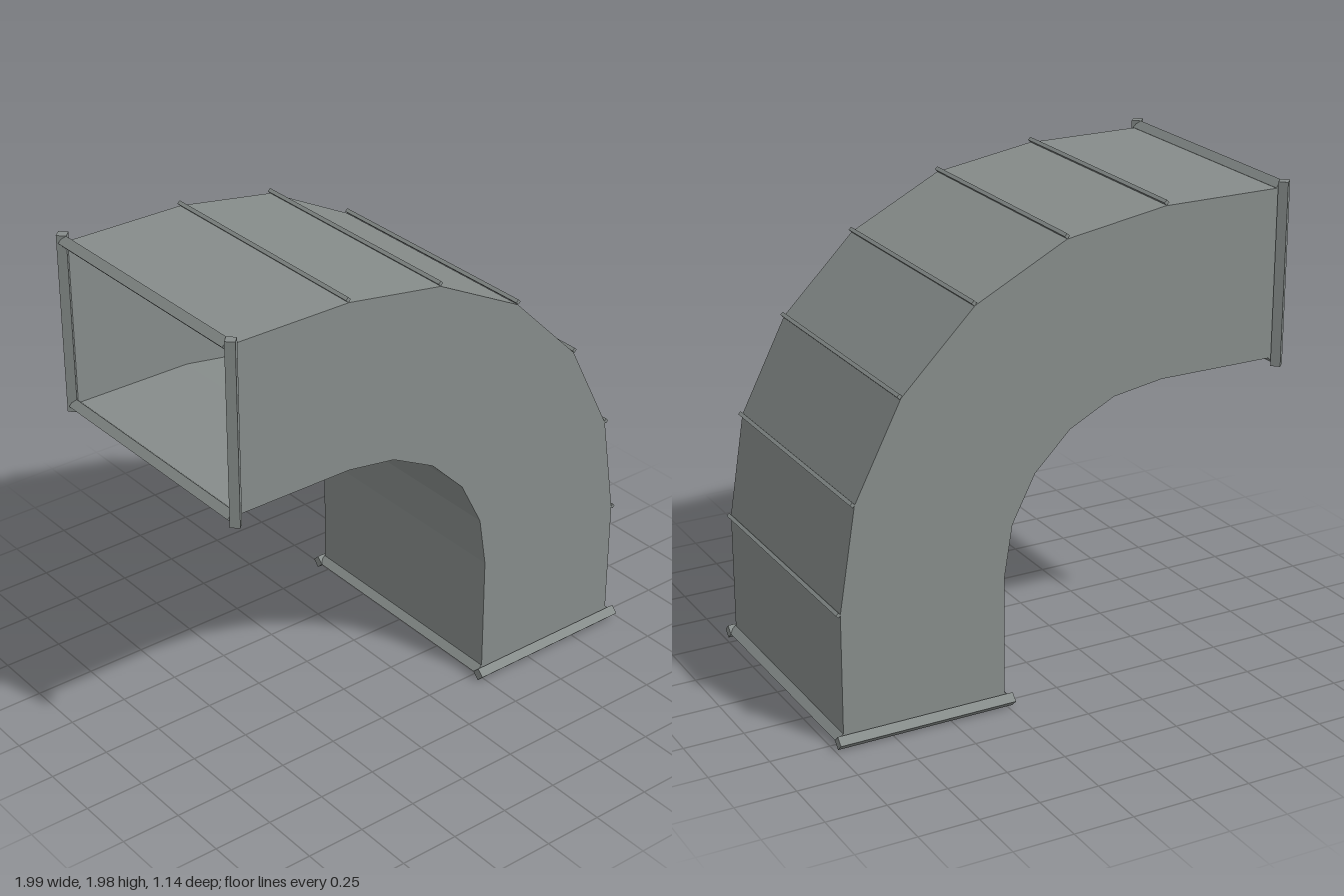
import * as THREE from 'three';

const HALF = 0.53;            // half the duct width along z
const CX = -0.44, CY = 0.56;  // centre of the bend
const R_OUT = 1.395, R_IN = 0.695;
const STEPS = 5;

export function createModel() {
  const group = new THREE.Group();
  const metal = new THREE.MeshStandardMaterial({ color: 0x868c8a, flatShading: true, side: THREE.DoubleSide });
  metal.name = 'galvanised grey';

  // Open rectangular duct: one four-cornered section per station
  const sections = [];
  const section = (ox, oy, ix, iy) => sections.push([
    [ox, oy, HALF], [ox, oy, -HALF], [ix, iy, -HALF], [ix, iy, HALF],
  ]);
  section(-0.97, CY + R_OUT, -0.97, CY + R_IN);
  for (let i = 0; i <= STEPS; i++) {
    const a = (i / STEPS) * Math.PI / 2, s = Math.sin(a), c = Math.cos(a);
    section(CX + R_OUT * s, CY + R_OUT * c, CX + R_IN * s, CY + R_IN * c);
  }
  section(CX + R_OUT, 0.03, CX + R_IN, 0.03);

  const pos = [];
  for (let i = 0; i < sections.length - 1; i++) {
    for (let j = 0; j < 4; j++) {
      const k = (j + 1) % 4;
      const a = sections[i][j], b = sections[i][k];
      const c = sections[i + 1][k], d = sections[i + 1][j];
      pos.push(...a, ...d, ...c, ...a, ...c, ...b);
    }
  }
  const ductGeo = new THREE.BufferGeometry();
  ductGeo.setAttribute('position', new THREE.Float32BufferAttribute(pos, 3));
  ductGeo.computeVertexNormals();
  const duct = new THREE.Mesh(ductGeo, metal);
  duct.name = 'ductElbow';
  group.add(duct);

  // Diamond-section bar along one axis
  const bar = (name, axis, r, length, x, y, z, parent) => {
    const geo = new THREE.CylinderGeometry(r, r, length, 4);
    if (axis === 'z') geo.rotateX(Math.PI / 2);
    if (axis === 'x') geo.rotateZ(Math.PI / 2);
    const mesh = new THREE.Mesh(geo, metal);
    mesh.name = name;
    mesh.position.set(x, y, z);
    parent.add(mesh);
  };

  // Seam ribs on the outer corners of the bend
  const ribs = new THREE.Group();
  ribs.name = 'seamRibs';
  for (let i = 0; i <= STEPS; i++) {
    const a = (i / STEPS) * Math.PI / 2;
    bar('seamRib', 'z', 0.011, HALF * 2,
      CX - 0.004 + 1.407 * Math.sin(a), CY + 1.407 * Math.cos(a), 0, ribs);
  }
  group.add(ribs);

  // Flange frames round both openings
  const upper = new THREE.Group(), lower = new THREE.Group();
  upper.name = 'upperFlange';
  lower.name = 'lowerFlange';
  const mid = (R_OUT + R_IN) / 2, r = 0.028;
  for (const s of [-1, 1]) {
    bar('flangeCrossBar', 'z', r, HALF * 2, -0.972, CY + mid + s * 0.352, 0, upper);
    bar('flangeSideBar', 'y', r, 0.76, -0.972, CY + mid, s * 0.543, upper);
    bar('flangeCrossBar', 'z', r, HALF * 2, CX + mid + s * 0.352, 0.03, 0, lower);
    bar('flangeSideBar', 'x', r, 0.76, CX + mid, 0.03, s * 0.543, lower);
  }
  group.add(upper, lower);
  return group;
}
